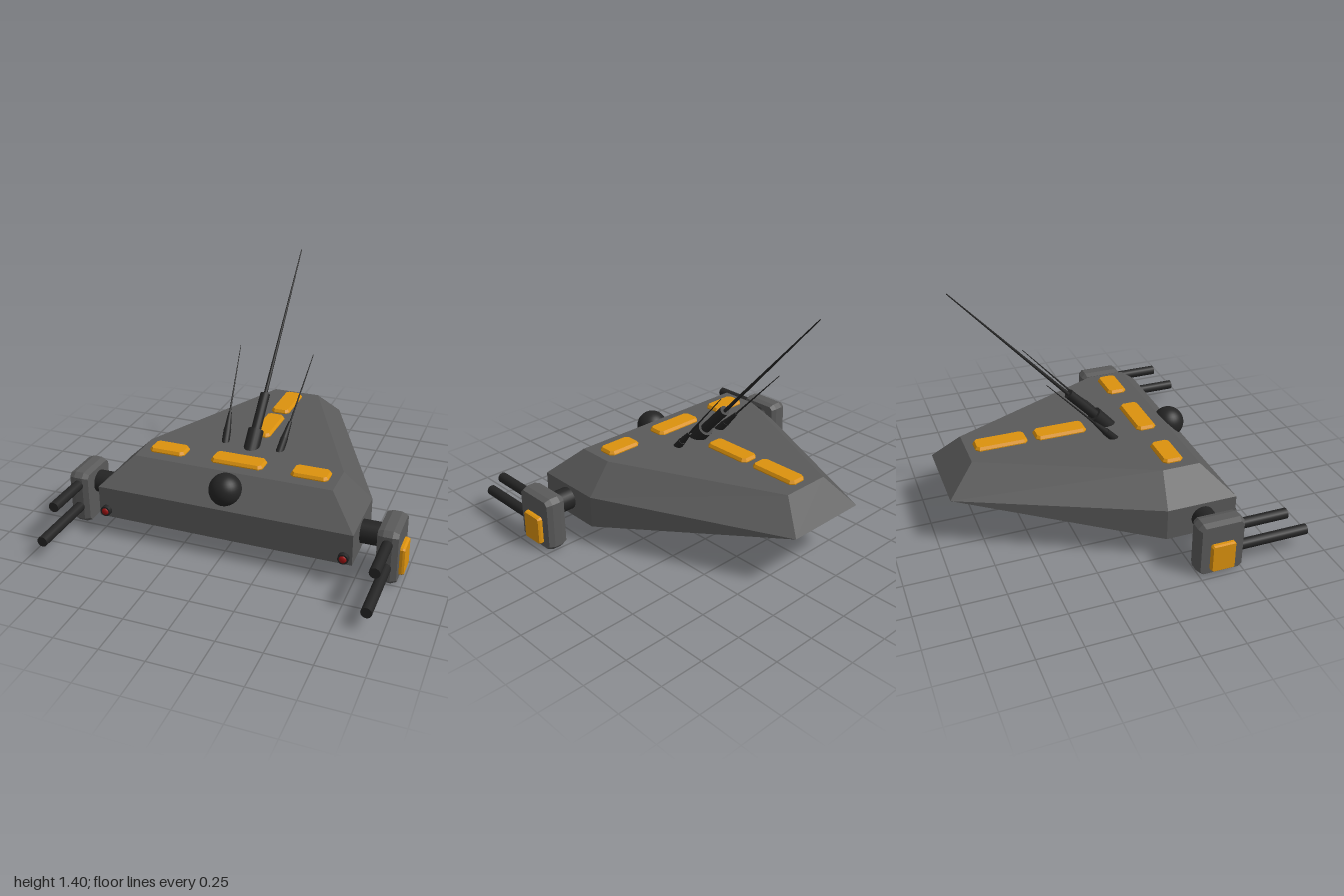
import * as THREE from 'three';

const mat = (color, extra = {}) => new THREE.MeshStandardMaterial({ color, ...extra });

export function createModel() {
  const model = new THREE.Group();
  const grey = mat(0x5a5a5a, { flatShading: true });
  const dark = mat(0x242424);
  const orange = mat(0xdc920e, { flatShading: true });
  const red = mat(0x991111);

  const add = (name, geometry, material, x = 0, y = 0, z = 0) => {
    const mesh = new THREE.Mesh(geometry, material);
    mesh.name = name;
    mesh.position.set(x, y, z);
    model.add(mesh);
    return mesh;
  };

  // Centred box with cut corners and bevelled faces; d runs along z
  const chamferBox = (w, h, d, c) => {
    const a = w / 2 - c, b = h / 2 - c, k = c * 0.6;
    const corners = [[a, -b - k], [a + k, -b], [a + k, b], [a, b + k], [-a, b + k], [-a - k, b], [-a - k, -b], [-a, -b - k]];
    const shape = new THREE.Shape(corners.map(([x, y]) => new THREE.Vector2(x, y)));
    const bevel = Math.min(c, d * 0.4);
    return new THREE.ExtrudeGeometry(shape, {
      depth: d - 2 * bevel, bevelEnabled: true, bevelSegments: 1, bevelSize: c - k, bevelThickness: bevel,
    }).translate(0, 0, bevel - d / 2);
  };

  // Round bar between two points
  const bar = (name, from, to, r0, r1, material = dark, sides = 16) => {
    const a = new THREE.Vector3(...from), b = new THREE.Vector3(...to);
    const dir = b.clone().sub(a);
    const mesh = add(name, new THREE.CylinderGeometry(r1, r0, dir.length(), sides), material);
    mesh.position.copy(a).add(b).multiplyScalar(0.5);
    mesh.quaternion.setFromUnitVectors(new THREE.Vector3(0, 1, 0), dir.normalize());
    return mesh;
  };

  // Hull: deck, rim and keel outlines joined in rings
  const ring = (half) => [...half, ...half.map(([x, y, z]) => [-x, y, z]).reverse()];
  const deck = ring([[0.585, 0.455, 0.41], [0.585, 0.455, 0.19], [0.145, 0.455, -0.765]]);
  const rim = ring([[0.745, 0.3, 0.565], [0.745, 0.3, 0.155], [0.25, 0.3, -0.92]]);
  const keel = ring([[0.745, 0.117, 0.565], [0.745, 0.115, 0.155], [0.25, 0.3, -0.92]]);
  const tris = [];
  const tri = (a, b, c) => {
    const [A, B, C] = [a, b, c].map((p) => new THREE.Vector3(...p));
    if (B.clone().sub(A).cross(C.clone().sub(A)).length() > 1e-6) tris.push(...a, ...b, ...c);
  };
  const quad = (a, b, c, d) => { tri(a, b, c); tri(a, c, d); };
  for (let i = 0; i < 6; i++) {
    const j = (i + 1) % 6;
    quad(rim[i], rim[j], deck[j], deck[i]);
    quad(keel[i], keel[j], rim[j], rim[i]);
  }
  quad(deck[0], deck[1], deck[4], deck[5]);
  quad(deck[1], deck[2], deck[3], deck[4]);
  quad(keel[5], keel[4], keel[1], keel[0]);
  quad(keel[4], keel[3], keel[2], keel[1]);
  const hull = new THREE.BufferGeometry();
  hull.setAttribute('position', new THREE.Float32BufferAttribute(tris, 3));
  hull.computeVertexNormals();
  add('hull', hull, grey);

  // Raised deck panels: x, z, width, length
  [[0, 0.28, 0.31, 0.12], [0.425, 0.28, 0.215, 0.12], [-0.425, 0.28, 0.215, 0.12],
    [0, -0.21, 0.115, 0.305], [0, -0.565, 0.115, 0.305]].forEach(([x, z, w, l]) => {
    add('deckPanel', chamferBox(w, l, 0.04, 0.025).rotateX(-Math.PI / 2), orange, x, 0.457, z);
  });

  // Nose sensor and tilted belly disc
  add('noseSensor', new THREE.SphereGeometry(0.093, 32, 20), dark, 0, 0.385, 0.485);
  const disc = add('bellyDisc', new THREE.CylinderGeometry(0.228, 0.228, 0.08, 40), dark, 0, 0.157, -0.168);
  disc.rotation.x = 0.17;

  // Main antenna with stepped base
  bar('antennaBase', [0, 0.425, 0.1], [0, 0.53, 0.005], 0.046, 0.046);
  bar('antennaCollar', [0, 0.5, 0.035], [0, 0.695, -0.15], 0.029, 0.029);
  bar('antennaRod', [0, 0.68, -0.14], [0, 1.4, -0.805], 0.011, 0.003, dark, 10);

  for (const s of [1, -1]) {
    // Whip antennas
    bar('whipBase', [s * 0.167, 0.44, 0.075], [s * 0.177, 0.51, 0.01], 0.023, 0.022);
    bar('whipSleeve', [s * 0.177, 0.51, 0.01], [s * 0.188, 0.585, -0.06], 0.02, 0.01);
    bar('whipRod', [s * 0.187, 0.57, -0.045], [s * 0.23, 0.9, -0.35], 0.006, 0.002, dark, 8);

    // Front lamps
    bar('lampHousing', [s * 0.7, 0.16, 0.55], [s * 0.7, 0.16, 0.59], 0.032, 0.03);
    const lamp = add('lampLens', new THREE.SphereGeometry(0.021, 16, 10), red, s * 0.7, 0.16, 0.59);
    lamp.scale.z = 0.5;

    // Side pod on its axle
    bar('podAxle', [s * 0.68, 0.215, 0.364], [s * 0.88, 0.215, 0.364], 0.066, 0.066, dark, 24);
    add('pod', chamferBox(0.27, 0.32, 0.115, 0.032).rotateY(Math.PI / 2), grey, s * 0.913, 0.16, 0.375);
    add('podPanel', chamferBox(0.14, 0.165, 0.05, 0.012).rotateY(Math.PI / 2), orange, s * 0.973, 0.117, 0.375);

    // Twin barrels
    bar('upperBarrel', [s * 0.913, 0.248, 0.45], [s * 0.913, 0.248, 0.78], 0.03, 0.03);
    bar('lowerBarrel', [s * 0.913, 0.107, 0.45], [s * 0.913, 0.107, 0.92], 0.03, 0.03);
  }
  return model;
}
